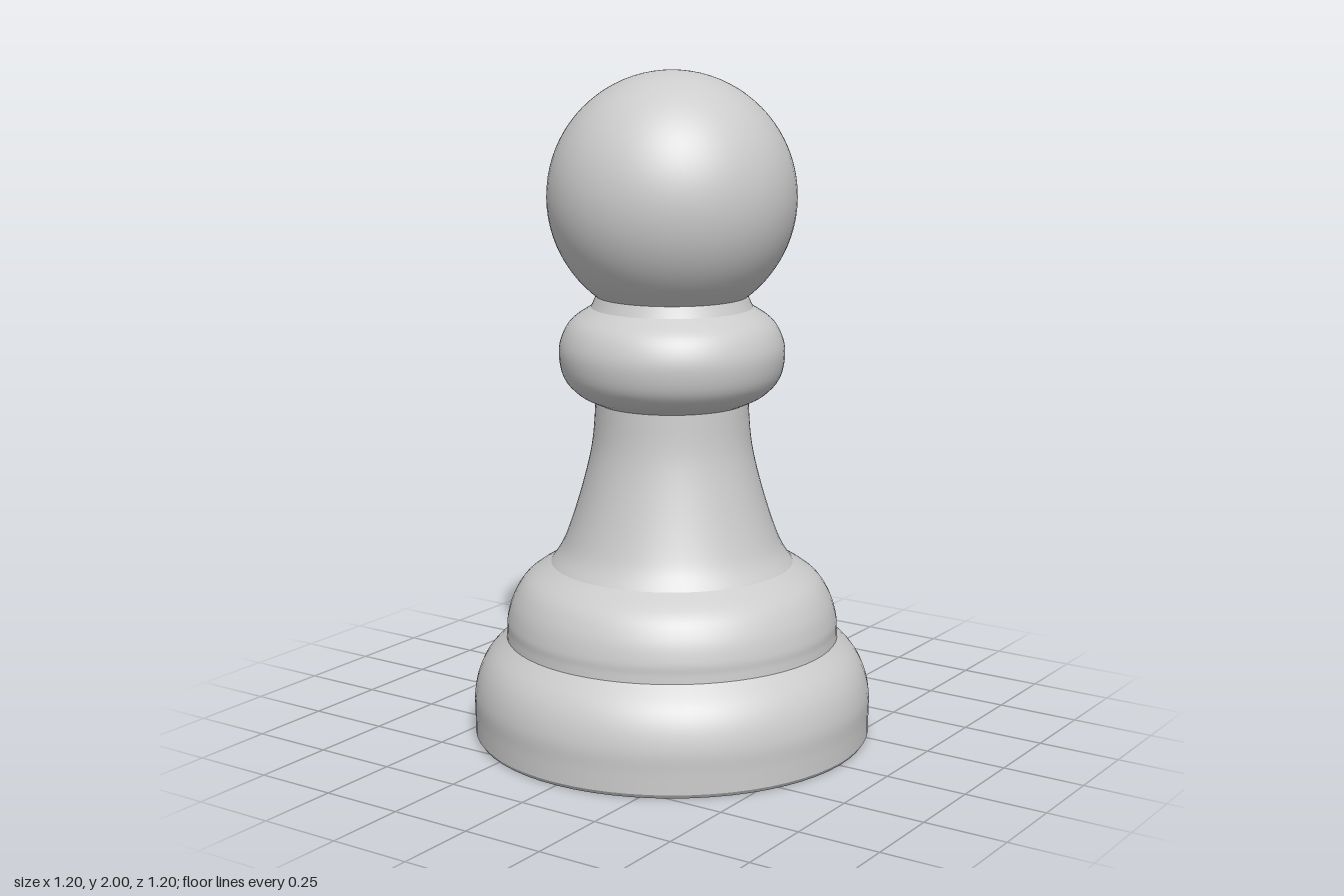
import * as THREE from 'three';

const SEGMENTS = 64;

// Smooth turned part: a spline through [radius, height] points, listed bottom to top
function turned(name, points, material, steps = 24) {
  const curve = new THREE.SplineCurve(points.map(([r, y]) => new THREE.Vector2(r, y)));
  const mesh = new THREE.Mesh(new THREE.LatheGeometry(curve.getPoints(steps), SEGMENTS), material);
  mesh.name = name;
  return mesh;
}

export function createModel() {
  const model = new THREE.Group();
  model.name = 'pawn';
  const grey = new THREE.MeshStandardMaterial({ color: 0xcccccc });
  grey.name = 'light grey';

  // Flat underside
  const underside = new THREE.Mesh(new THREE.CircleGeometry(0.592, SEGMENTS), grey);
  underside.name = 'underside';
  underside.rotation.x = Math.PI / 2;
  model.add(underside);

  model.add(
    // Small bevel around the foot
    turned('footBevel', [[0.592, 0], [0.6, 0.012]], grey, 1),
    // Wide foot with a rounded shoulder
    turned('foot', [[0.6, 0.012], [0.6, 0.07], [0.6, 0.135], [0.584, 0.2], [0.553, 0.254], [0.502, 0.305]], grey),
    // Second, narrower step
    turned('upperStep', [[0.502, 0.305], [0.5, 0.33], [0.498, 0.365], [0.48, 0.425], [0.44, 0.485], [0.365, 0.535]], grey),
    // Flaring stem
    turned('stem', [[0.365, 0.535], [0.325, 0.6], [0.277, 0.74], [0.24, 0.89], [0.228, 1.025]], grey),
    // Bulging collar
    turned('collar', [[0.228, 1.025], [0.28, 1.052], [0.322, 1.1], [0.336, 1.17], [0.325, 1.225], [0.296, 1.27], [0.24, 1.308]], grey),
    // Short neck under the head
    turned('neck', [[0.24, 1.308], [0.23, 1.33], [0.215, 1.365]], grey, 4),
  );

  // Round head
  const head = new THREE.Mesh(new THREE.SphereGeometry(0.368, SEGMENTS, 40), grey);
  head.name = 'head';
  head.position.y = 1.632;
  model.add(head);

  return model;
}
